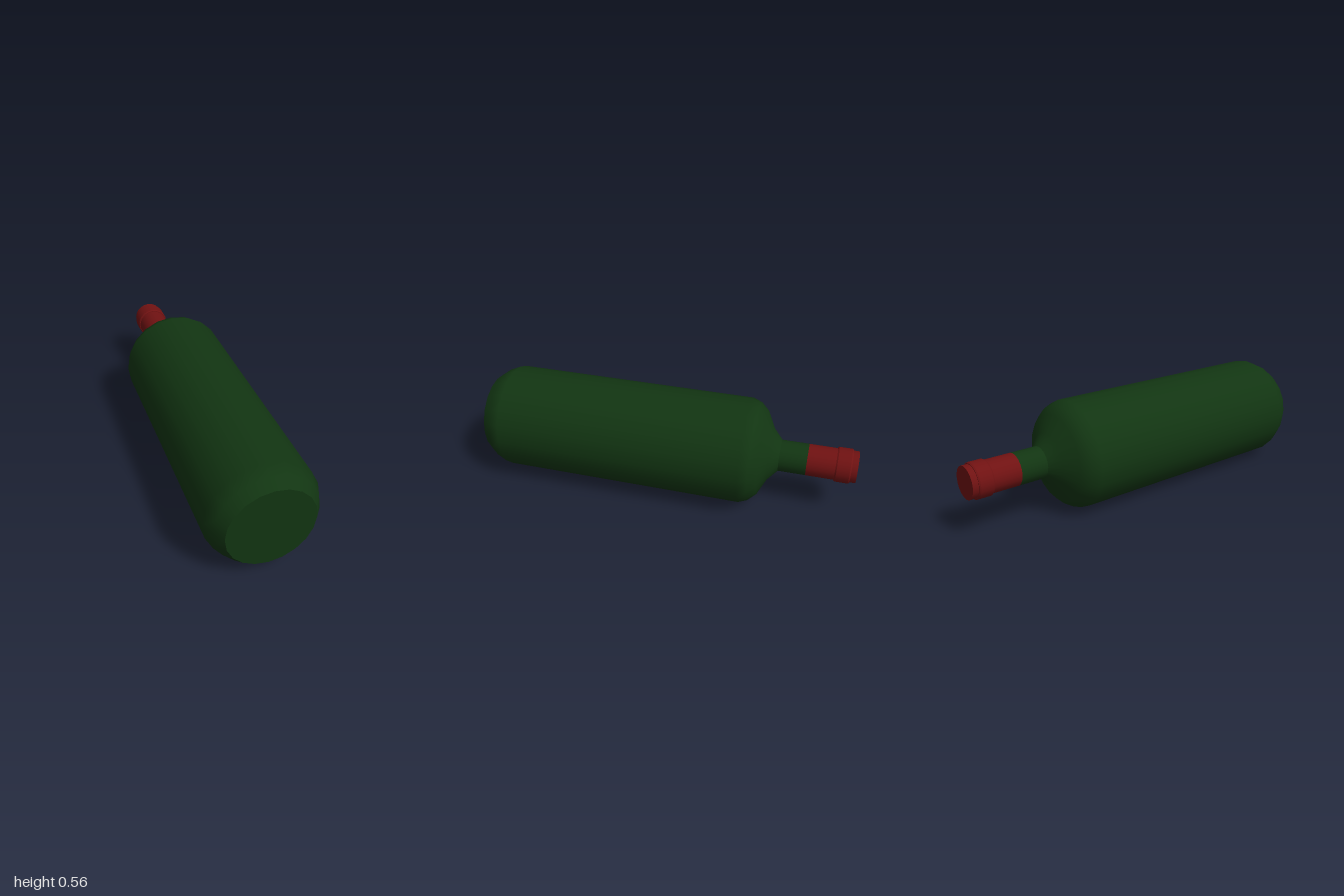
import * as THREE from 'three';
import { mergeGeometries } from 'three/addons/utils/BufferGeometryUtils.js';

const SIDES = 20;
const RADIUS = 0.2815;

// Each run is a list of [radius, distance along the axis]; shading is smooth
// within a run and creased where two runs meet.
function turnedPart(name, runs, material) {
  const pieces = runs.map(run =>
    new THREE.LatheGeometry(run.map(([r, d]) => new THREE.Vector2(r, d)), SIDES));
  const mesh = new THREE.Mesh(mergeGeometries(pieces), material);
  mesh.name = name;
  return mesh;
}

export function createModel() {
  const model = new THREE.Group();
  model.name = 'lyingBottle';

  const glass = new THREE.MeshStandardMaterial({ color: 0x123512 });
  const foil = new THREE.MeshStandardMaterial({ color: 0x701212 });

  // Bottle turned around y from base to mouth, then laid down
  const bottle = new THREE.Group();
  bottle.name = 'bottle';

  // Glass: flat base, rounded heel, straight body, shoulder, neck
  bottle.add(turnedPart('glassBody', [
    [[0, -1], [0.218, -1]],
    [[0.218, -1], [0.255, -0.95], [RADIUS, -0.888], [RADIUS, 0.42],
      [0.263, 0.468], [0.224, 0.51], [0.138, 0.553], [0.083, 0.603]],
    [[0.083, 0.603], [0.083, 0.745]],
  ], glass));

  // Foil sleeve over the upper neck, closed at the mouth
  bottle.add(turnedPart('foilSleeve', [
    [[0.083, 0.745], [0.083, 1]],
    [[0.083, 1], [0, 1]],
  ], foil));

  // Raised ring below the mouth, with slightly bevelled edges
  bottle.add(turnedPart('lipRing', [
    [[0.082, 0.89], [0.087, 0.89]],
    [[0.087, 0.89], [0.091, 0.897]],
    [[0.091, 0.897], [0.091, 0.963]],
    [[0.091, 0.963], [0.087, 0.97]],
    [[0.087, 0.97], [0.082, 0.97]],
  ], foil));

  bottle.rotation.x = -Math.PI / 2;
  bottle.position.y = RADIUS;
  model.add(bottle);
  return model;
}
